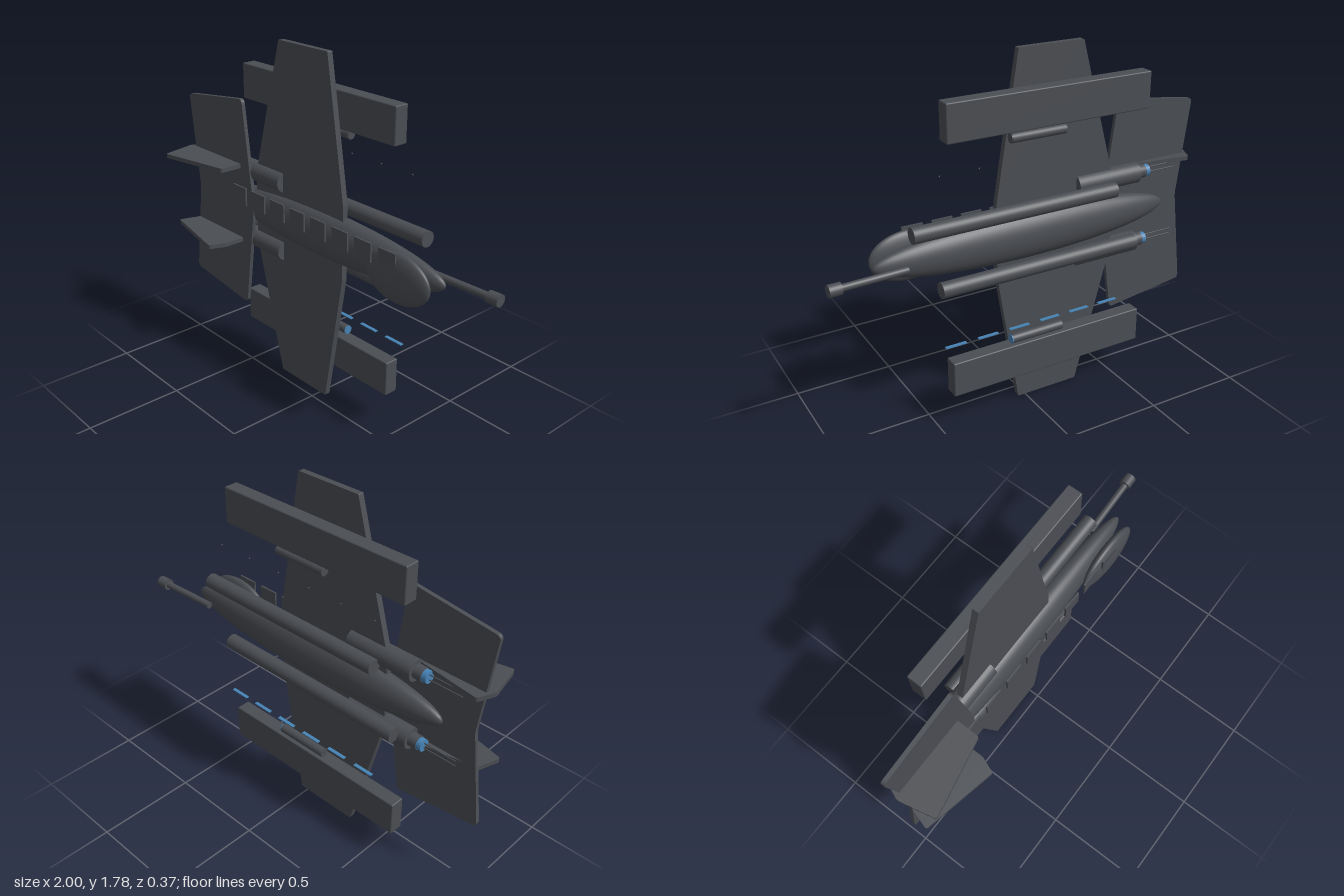
import * as THREE from 'three';
import { RoundedBoxGeometry } from 'three/addons/geometries/RoundedBoxGeometry.js';

export function createModel() {
  const model = new THREE.Group();
  const hull = new THREE.MeshStandardMaterial({ color: 0x4a4d52 });
  hull.name = 'hull grey';
  const glow = new THREE.MeshStandardMaterial({ color: 0x4682b4 });
  glow.name = 'glow blue';

  const add = (name, geometry, material, x, y, z) => {
    const mesh = new THREE.Mesh(geometry, material);
    mesh.name = name;
    mesh.position.set(x, y, z);
    model.add(mesh);
    return mesh;
  };

  // Cylinder lying along x, from x0 to x1
  const rod = (name, x0, x1, y, z, r, material = hull, rEnd = r) => {
    const g = new THREE.CylinderGeometry(rEnd, r, x1 - x0, 32).rotateZ(-Math.PI / 2);
    return add(name, g, material, (x0 + x1) / 2, y, z);
  };

  const ellipsoid = (name, x, y, z, rx, ry, rz) =>
    add(name, new THREE.SphereGeometry(1, 48, 32).rotateZ(Math.PI / 2).scale(rx, ry, rz), hull, x, y, z);

  // Flat plate with softened corners, centred on its own thickness
  const plate = (points, depth, radius) => {
    const p = points.map(([x, y]) => new THREE.Vector2(x, y));
    const s = new THREE.Shape();
    p.forEach((c, i) => {
      const prev = p[(i + p.length - 1) % p.length], next = p[(i + 1) % p.length];
      const a = c.clone().add(prev.clone().sub(c).setLength(radius));
      const b = c.clone().add(next.clone().sub(c).setLength(radius));
      if (i) s.lineTo(a.x, a.y); else s.moveTo(a.x, a.y);
      s.quadraticCurveTo(c.x, c.y, b.x, b.y);
    });
    s.closePath();
    return new THREE.ExtrudeGeometry(s, { depth, bevelEnabled: false, curveSegments: 5 })
      .translate(0, 0, -depth / 2);
  };

  // Body and cockpit
  ellipsoid('fuselage', -0.015, 0.895, -0.08, 0.785, 0.12, 0.08);
  ellipsoid('cockpit', 0.565, 0.887, 0.001, 0.19, 0.123, 0.039);

  // Window panels along the side
  for (let i = 0; i < 8; i++)
    add('windowPanel', new THREE.BoxGeometry(0.104, 0.094, 0.009), hull, -0.523 + i * 0.15, 0.967, 0.03);

  // Main wing and tailplane
  add('wing', plate([
    [-0.30, 0], [0.04, 0], [0.155, 0.70], [0.155, 1.08], [0.04, 1.78], [-0.30, 1.78],
    [-0.49, 1.08], [-0.49, 0.70],
  ], 0.03, 0.005), hull, 0, 0, -0.07);
  add('tailplane', plate([
    [-1, 0.386], [-0.545, 0.326], [-0.468, 0.89], [-0.545, 1.454], [-1, 1.394], [-0.935, 0.89],
  ], 0.02, 0.025), hull, 0, 0, -0.022);

  // Tail fins standing out from the tailplane; local y becomes z
  const fins = [
    [1.10, [[-0.957, -0.09], [-0.567, -0.035], [-0.567, 0.107], [-0.955, 0.185], [-0.995, 0]]],
    [0.69, [[-0.957, -0.02], [-0.60, -0.085], [-0.567, -0.03], [-0.567, 0.1], [-0.60, 0.185], [-0.995, 0.1]]],
  ];
  for (const [y, outline] of fins)
    add('tailFin', plate(outline, 0.022, 0.012).rotateX(Math.PI / 2), hull, 0, y, 0);

  // Wing pods, each with a small barrel on the inner side
  for (const [podY, barrelY, tip] of [[1.52, 1.40, hull], [0.265, 0.385, glow]]) {
    add('wingPod', new RoundedBoxGeometry(1.063, 0.18, 0.074, 2, 0.006), hull, -0.098, podY, -0.128);
    rod('podBarrel', -0.17, 0.11, barrelY, -0.14, 0.023);
    rod('barrelTip', 0.11, 0.115, barrelY, -0.14, 0.022, tip);
  }

  // Engines, nozzles, exhaust streaks and long tubes
  for (const [y, tubeY, front] of [[1.077, 1.043, 0.605], [0.707, 0.743, 0.475]]) {
    rod('engine', -0.64, -0.28, y, -0.07, 0.052);
    rod('nozzle', -0.685, -0.64, y, -0.07, 0.034);
    rod('nozzleGlow', -0.71, -0.685, y, -0.07, 0.03, glow);
    for (const side of [-1, 1])
      rod('exhaustStreak', -0.88, -0.71, y + side * 0.013, -0.07, 0.003);
    rod('longTube', front - 1.07, front, tubeY, -0.14, 0.038);
  }

  // Nose gun, tilted slightly backwards
  rod('gunBarrel', 0.63, 0.955, 0.89, -0.152, 0.017).rotation.y = 0.04;
  rod('gunMuzzle', 0.942, 1.0, 0.89, -0.16, 0.029).rotation.y = 0.04;

  // Row of glowing dashes below and small beads above
  for (let i = 0; i < 6; i++) {
    add('glowDash', new THREE.BoxGeometry(0.107, 0.004, 0.018), glow, -0.435 + i * 0.17, 0.45, -0.154);
    add('bead', new THREE.SphereGeometry(0.004, 10, 8), hull, -0.48 + i * 0.191, 1.30, -0.166);
  }

  return model;
}
